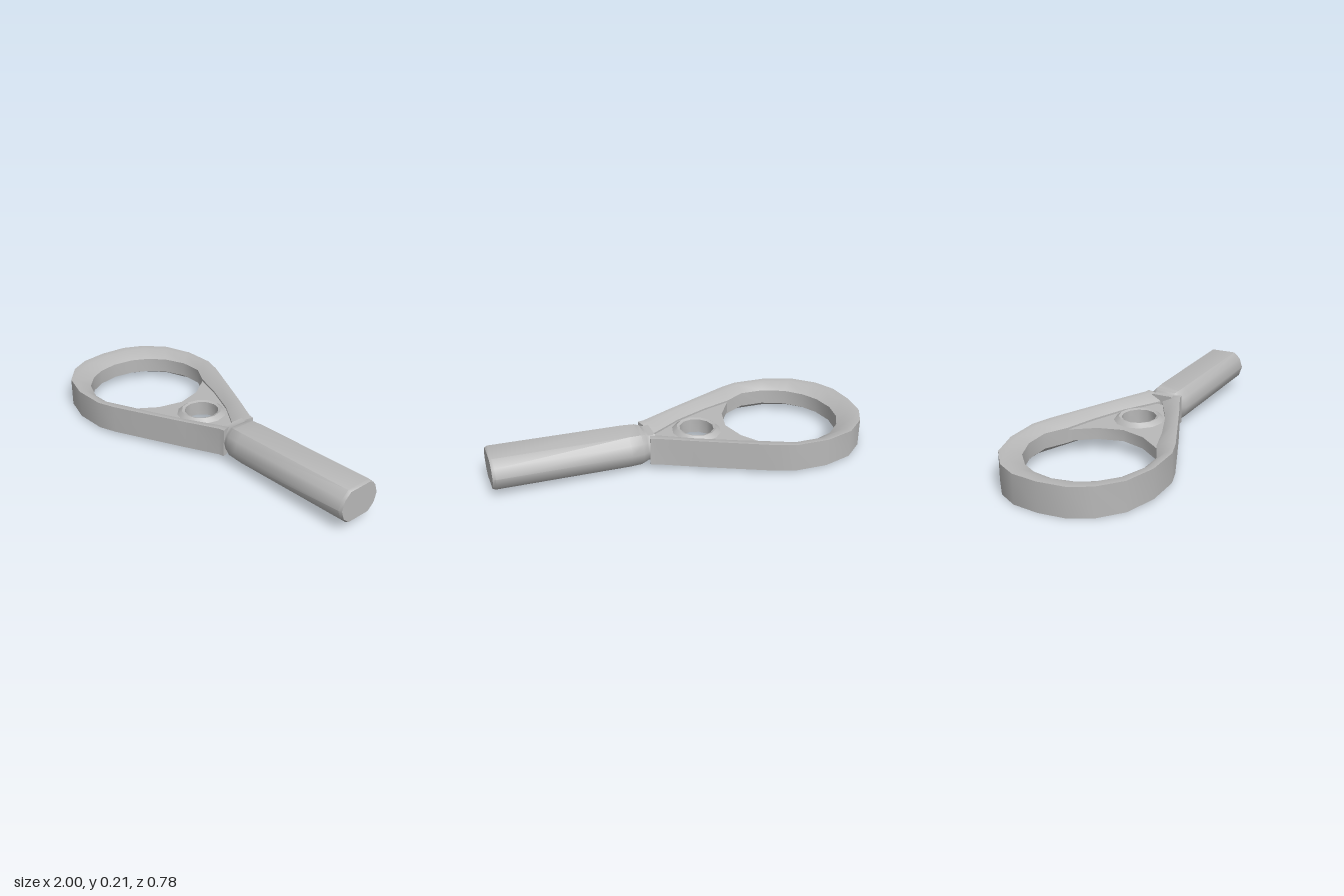
import * as THREE from 'three';
import { toCreasedNormals } from 'three/addons/utils/BufferGeometryUtils.js';

// The whole piece rises gently from head to handle end.
const lift = (x) => 0.101 + 0.026 * x;

function tilt(geometry) {
  const p = geometry.attributes.position;
  for (let i = 0; i < p.count; i++) p.setY(i, p.getY(i) + lift(p.getX(i)));
  return toCreasedNormals(geometry, 0.75);
}

// Skins a row of closed cross-sections and caps both ends.
function loft(sections) {
  const n = sections[0].length, pos = sections.flat(2);
  let idx = [];
  for (let s = 0; s < sections.length - 1; s++) {
    for (let i = 0; i < n; i++) {
      const a = s * n + i, b = s * n + (i + 1) % n;
      idx.push(a, b, a + n, b, b + n, a + n);
    }
  }
  const last = (sections.length - 1) * n;
  for (let i = 1; i < n - 1; i++) {
    idx.push(0, i + 1, i, last, last + i, last + i + 1);
  }
  // Turn the faces outward if the enclosed volume comes out negative.
  const v = (i) => new THREE.Vector3().fromArray(pos, i * 3);
  let volume = 0;
  for (let i = 0; i < idx.length; i += 3) volume += v(idx[i]).dot(v(idx[i + 1]).cross(v(idx[i + 2])));
  if (volume < 0) idx = idx.reverse();
  const g = new THREE.BufferGeometry();
  g.setAttribute('position', new THREE.Float32BufferAttribute(pos, 3));
  g.setIndex(idx);
  return tilt(g);
}

export function createModel() {
  const group = new THREE.Group();
  const grey = new THREE.MeshStandardMaterial({ color: 0xb8b8b8 });
  grey.name = 'plain grey';
  const add = (name, geometry) => {
    const mesh = new THREE.Mesh(geometry, grey);
    mesh.name = name;
    group.add(mesh);
  };

  // Teardrop rim: outer x, z and inner x, z, from the far tip to the neck.
  const half = [
    [-1, 0, -0.885, 0], [-0.985, 0.14, -0.865, 0.11], [-0.93, 0.245, -0.82, 0.19],
    [-0.82, 0.34, -0.74, 0.265], [-0.66, 0.388, -0.62, 0.312], [-0.48, 0.388, -0.49, 0.312],
    [-0.38, 0.355, -0.375, 0.25], [-0.2, 0.275, -0.22, 0.2], [0, 0.185, -0.03, 0.12],
    [0.17, 0.105, 0.1, 0.04], [0.2, 0.1, 0.17, 0],
  ];
  const mirrored = half.slice(1).reverse().map(([a, b, c, d]) => [a, -b, c, -d]);
  const h = 0.075, lip = 0.04;
  add('headRim', loft([...mirrored, ...half].map(([ox, oz, ix, iz]) => {
    const rx = ox + (ix - ox) * 0.4, rz = oz + (iz - oz) * 0.4;
    return [
      [ox, -h, oz], [ox, h, oz], [rx, h, rz],
      [ix, lip, iz], [ix, -lip, iz], [rx, -h, rz],
    ];
  })));

  // Recessed web between ring and neck, with its round hole.
  const web = new THREE.Shape([
    [-0.36, 0.29], [-0.375, 0.25], [-0.29, 0.13], [-0.255, 0],
    [-0.29, -0.13], [-0.375, -0.25], [-0.36, -0.29], [0.14, -0.08], [0.14, 0.08],
  ].map(([x, z]) => new THREE.Vector2(x, z)));
  const hole = new THREE.Path();
  hole.absarc(-0.09, 0, 0.09, 0, Math.PI * 2, true);
  web.holes.push(hole);
  const plate = new THREE.ExtrudeGeometry(web, { depth: 0.06, bevelEnabled: false, curveSegments: 6 });
  plate.translate(0, 0, -0.03).rotateX(Math.PI / 2);
  add('web', tilt(plate));

  // Low collar around the hole.
  const profile = [[0.09, -0.03], [0.13, -0.03], [0.13, 0.03], [0.105, 0.05], [0.09, 0.045], [0.09, -0.03]];
  const collar = new THREE.LatheGeometry(profile.map(([r, y]) => new THREE.Vector2(r, y)), 12);
  collar.translate(-0.09, 0, 0);
  add('holeCollar', tilt(collar));

  // Faceted round handle, pinched at the neck.
  const outline = [
    [0.56, 1], [0.86, 0.6], [1, 0], [0.86, -0.6], [0.56, -1],
    [-0.56, -1], [-0.86, -0.6], [-1, 0], [-0.86, 0.6], [-0.56, 1],
  ];
  const stations = [
    [0.16, 0.1, 0.073], [0.195, 0.095, 0.071], [0.21, 0.1, 0.078], [0.235, 0.114, 0.084],
    [0.3, 0.12, 0.086], [0.985, 0.125, 0.086], [1, 0.118, 0.081],
  ];
  add('handle', loft(stations.map(([x, w, t]) => outline.map(([z, y]) => [x, y * t, z * w]))));

  return group;
}
